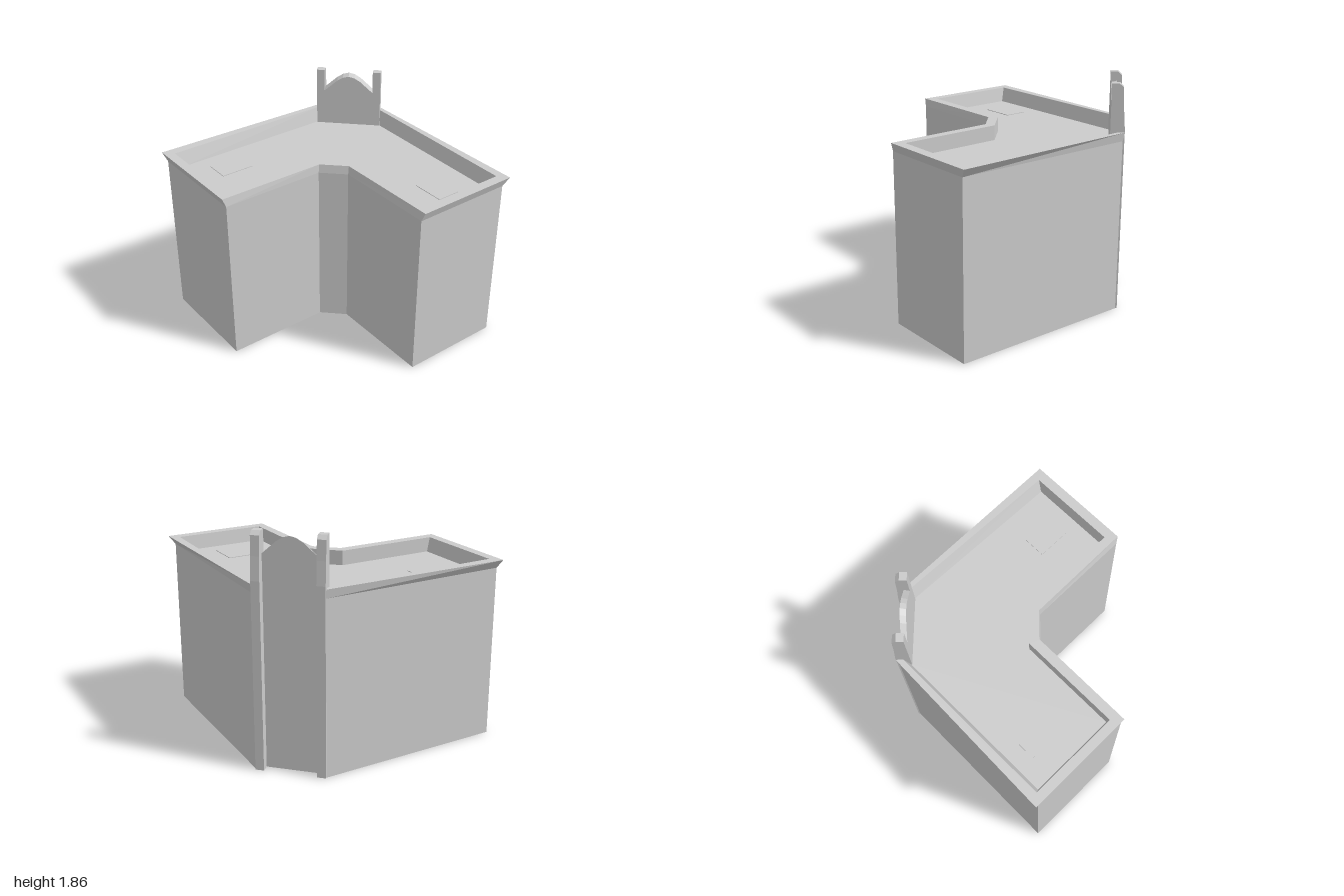
import * as THREE from 'three';

const material = new THREE.MeshStandardMaterial({ color: 0xcccccc, flatShading: true });
const shellMaterial = new THREE.MeshStandardMaterial({ color: 0xcccccc, flatShading: true, side: THREE.DoubleSide });

// Plan loops as [x, z], running from one side of the gate corner round to the other
const wallPlan = [[-0.945, -0.575], [-0.955, 0.95], [-0.06, 0.95], [-0.06, 0.085],
  [0.105, -0.085], [0.975, -0.085], [0.975, -0.93], [-0.56, -0.965]];
const rimOuter = [[-0.957, -0.58], [-1, 0.975], [-0.07, 0.975], [-0.065, 0.075],
  [0.1, -0.095], [1, -0.1], [1, -0.98], [-0.562, -0.978]];
const rimInner = [[-0.915, -0.545], [-0.92, 0.9], [-0.15, 0.9], [-0.145, 0.045],
  [0.07, -0.17], [0.92, -0.17], [0.92, -0.91], [-0.53, -0.94]];
const roofPlan = [[-0.88, -0.515], [-0.88, 0.875], [-0.15, 0.875], [-0.145, 0.045],
  [0.07, -0.17], [0.905, -0.17], [0.905, -0.87], [-0.485, -0.9]];

const WALL_TOP = 1.41, RIM_TOP = 1.48, ROOF = 1.36;

function mesh(name, geometry, mat = material) {
  const m = new THREE.Mesh(geometry, mat);
  m.name = name;
  return m;
}

// Band of quads between two plan loops, left open at the gate corner
function band(name, loopA, yA, loopB, yB) {
  const pos = [];
  for (let i = 0; i < loopA.length - 1; i++) {
    const a = [loopA[i][0], yA, loopA[i][1]], b = [loopA[i + 1][0], yA, loopA[i + 1][1]];
    const c = [loopB[i + 1][0], yB, loopB[i + 1][1]], d = [loopB[i][0], yB, loopB[i][1]];
    pos.push(...a, ...b, ...c, ...a, ...c, ...d);
  }
  const g = new THREE.BufferGeometry();
  g.setAttribute('position', new THREE.Float32BufferAttribute(pos, 3));
  g.computeVertexNormals();
  return mesh(name, g, shellMaterial);
}

// Flat roof deck, facing up
function createRoof() {
  const g = new THREE.ShapeGeometry(new THREE.Shape(roofPlan.map(([x, z]) => new THREE.Vector2(x, -z))));
  g.rotateX(-Math.PI / 2);
  g.translate(0, ROOF, 0);
  return mesh('roof', g, shellMaterial);
}

// Very low raised panel on the roof
function hatch(name, x0, x1, z0, z1) {
  const h = 0.005;
  const m = mesh(name, new THREE.BoxGeometry(x1 - x0, h, z1 - z0));
  m.position.set((x0 + x1) / 2, ROOF + h / 2, (z0 + z1) / 2);
  return m;
}

// Gate across the cut corner: local z points outward, local x runs along it
function createGate() {
  const gate = new THREE.Group();
  gate.name = 'cornerGable';
  const inner = 0.976, half = 0.2085, width = 0.068;

  // Pilasters with a tapered, bevelled outer top edge
  const profile = [[inner, 0], [1.087, 0], [1.087, 1.5], [1.073, 1.68], [1.067, 1.83], [1.035, 1.86], [inner, 1.86]];
  const pilasterShape = new THREE.Shape(profile.map(([z, y]) => new THREE.Vector2(z, y)));
  for (const side of [-1, 1]) {
    const g = new THREE.ExtrudeGeometry(pilasterShape, { depth: width, bevelEnabled: false });
    g.rotateY(-Math.PI / 2);
    g.translate(side * (half + width / 2) + width / 2, 0, 0);
    gate.add(mesh(side < 0 ? 'pilasterA' : 'pilasterB', g));
  }

  // Panel with a curved gable top, a little higher on the outer side
  const arch = [[0.2085, 1.67], [0.15, 1.722], [0.1, 1.767], [0.05, 1.797], [0, 1.81]];
  const top = [...arch, ...arch.slice(0, -1).reverse().map(([x, y]) => [-x, y])];
  const panelShape = new THREE.Shape([[-half, 0], [half, 0], ...top].map(([x, y]) => new THREE.Vector2(x, y)));
  const depth = 0.045;
  const panel = new THREE.ExtrudeGeometry(panelShape, { depth, bevelEnabled: false });
  const p = panel.attributes.position;
  for (let i = 0; i < p.count; i++) {
    if (p.getY(i) > 1 && p.getZ(i) > depth / 2) p.setY(i, p.getY(i) + 0.02);
  }
  panel.computeVertexNormals();
  panel.translate(0, 0, inner);
  gate.add(mesh('gablePanel', panel));

  gate.rotation.y = -3 * Math.PI / 4;
  gate.position.set(0.01, 0, -0.01);
  return gate;
}

export function createModel() {
  const model = new THREE.Group();
  model.name = 'cornerBuilding';
  // The shell is open underneath
  model.add(
    band('walls', wallPlan, 0, wallPlan, WALL_TOP),
    band('cornice', wallPlan, WALL_TOP, rimOuter, RIM_TOP),
    band('parapetTop', rimOuter, RIM_TOP, rimInner, RIM_TOP),
    band('parapetInside', rimInner, RIM_TOP, roofPlan, ROOF),
    createRoof(),
    hatch('roofHatchRight', 0.5, 0.775, -0.65, -0.455),
    hatch('roofHatchFront', -0.74, -0.545, 0.4, 0.68),
    createGate(),
  );
  return model;
}
